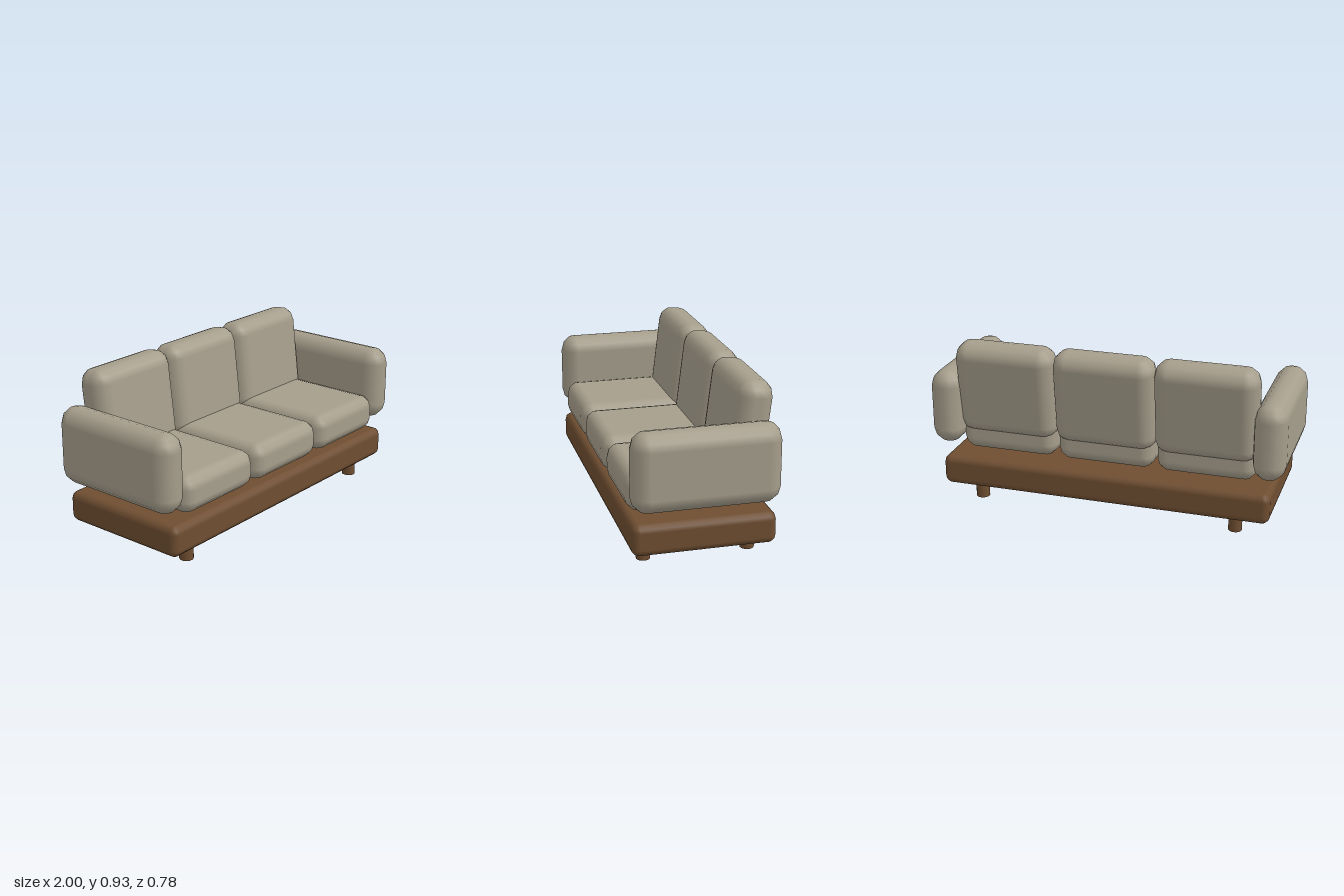
import * as THREE from 'three';

// Rounded box with true 30-degree arc steps: a sphere grid pulled apart into eight corners.
function roundedBox(w, h, d, r) {
  const geo = new THREE.SphereGeometry(1, 16, 9);
  const pos = geo.attributes.position, nor = geo.attributes.normal;
  const step = Math.PI / 6;
  for (let row = 0, i = 0; row <= 9; row++) {
    const pole = row === 0 || row === 9;
    const top = row < 5;
    const theta = pole ? (top ? 0 : Math.PI) : (row - (top ? 1 : 2)) * step;
    for (let col = 0; col <= 16; col++, i++) {
      const quad = Math.floor(col / 4) % 4;
      const phi = quad * Math.PI / 2 + (col % 4) * step;
      const n = new THREE.Vector3(-Math.cos(phi) * Math.sin(theta), Math.cos(theta), Math.sin(phi) * Math.sin(theta));
      const sx = pole ? 0 : (quad === 0 || quad === 3 ? -1 : 1);
      const sz = pole ? 0 : (quad < 2 ? 1 : -1);
      pos.setXYZ(i, sx * (w / 2 - r) + n.x * r, (top ? 1 : -1) * (h / 2 - r) + n.y * r, sz * (d / 2 - r) + n.z * r);
      nor.setXYZ(i, n.x, n.y, n.z);
    }
  }
  return geo;
}

export function createModel() {
  const group = new THREE.Group();
  group.name = 'sofa';
  const fabric = new THREE.MeshStandardMaterial({ color: 0xa69e8c });
  fabric.name = 'beige fabric';
  const wood = new THREE.MeshStandardMaterial({ color: 0x6f4e31 });
  wood.name = 'brown wood';

  const add = (name, geo, mat, x, y, z) => {
    const mesh = new THREE.Mesh(geo, mat);
    mesh.name = name;
    mesh.position.set(x, y, z);
    group.add(mesh);
    return mesh;
  };

  // Wooden platform
  add('base', roundedBox(1.86, 0.17, 0.76, 0.04), wood, 0, 0.175, 0);

  // Legs and armrests, mirrored
  const legGeo = new THREE.CylinderGeometry(0.038, 0.038, 0.11, 16);
  const armGeo = roundedBox(0.18, 0.425, 0.78, 0.088);
  for (const side of [1, -1]) {
    const label = side > 0 ? 'left' : 'right';
    add(label + 'FrontLeg', legGeo, wood, side * 0.735, 0.055, 0.281);
    add(label + 'BackLeg', legGeo, wood, side * 0.735, 0.055, -0.281);
    add(label + 'Armrest', armGeo, fabric, side * 0.91, 0.542, 0);
  }

  // Three seat cushions with leaning back cushions
  const seatGeo = roundedBox(0.55, 0.205, 0.695, 0.07);
  const backGeo = roundedBox(0.565, 0.53, 0.192, 0.08);
  ['right', 'middle', 'left'].forEach((label, i) => {
    const x = (i - 1) * 0.562;
    add(label + 'SeatCushion', seatGeo, fabric, x, 0.392, 0.037);
    add(label + 'BackCushion', backGeo, fabric, x, 0.665, -0.268).rotation.x = -0.12;
  });
  return group;
}
